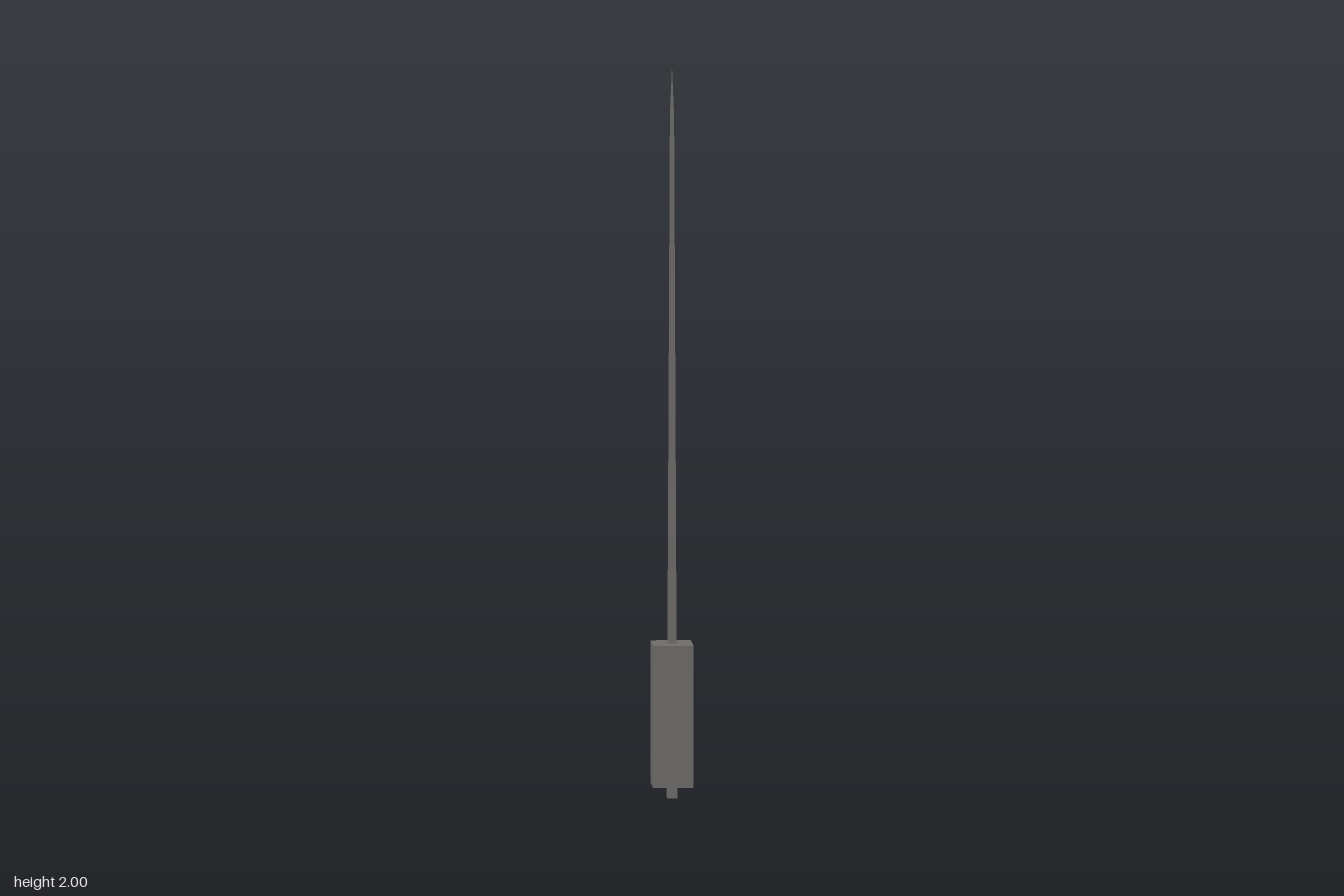
import * as THREE from 'three';

export function createModel() {
  const model = new THREE.Group();
  const metal = new THREE.MeshStandardMaterial({ color: 0x6e6c6a, flatShading: true });
  metal.name = 'dark grey metal';

  // Square tapered section, sides aligned with the axes
  function squareSection(name, topWidth, bottomWidth, y0, y1) {
    const toRadius = Math.SQRT1_2;
    const geometry = new THREE.CylinderGeometry(topWidth * toRadius, bottomWidth * toRadius, y1 - y0, 4);
    geometry.rotateY(Math.PI / 4);
    geometry.translate(0, (y0 + y1) / 2, 0);
    const mesh = new THREE.Mesh(geometry, metal);
    mesh.name = name;
    model.add(mesh);
  }

  // Slim mast running through the housing, ending in a point
  squareSection('mast', 0.011, 0.027, 0, 1.87);
  squareSection('mastTip', 0.001, 0.011, 1.87, 2);

  // Tall box around the foot of the mast
  squareSection('housing', 0.11, 0.11, 0.035, 0.425);

  return model;
}
